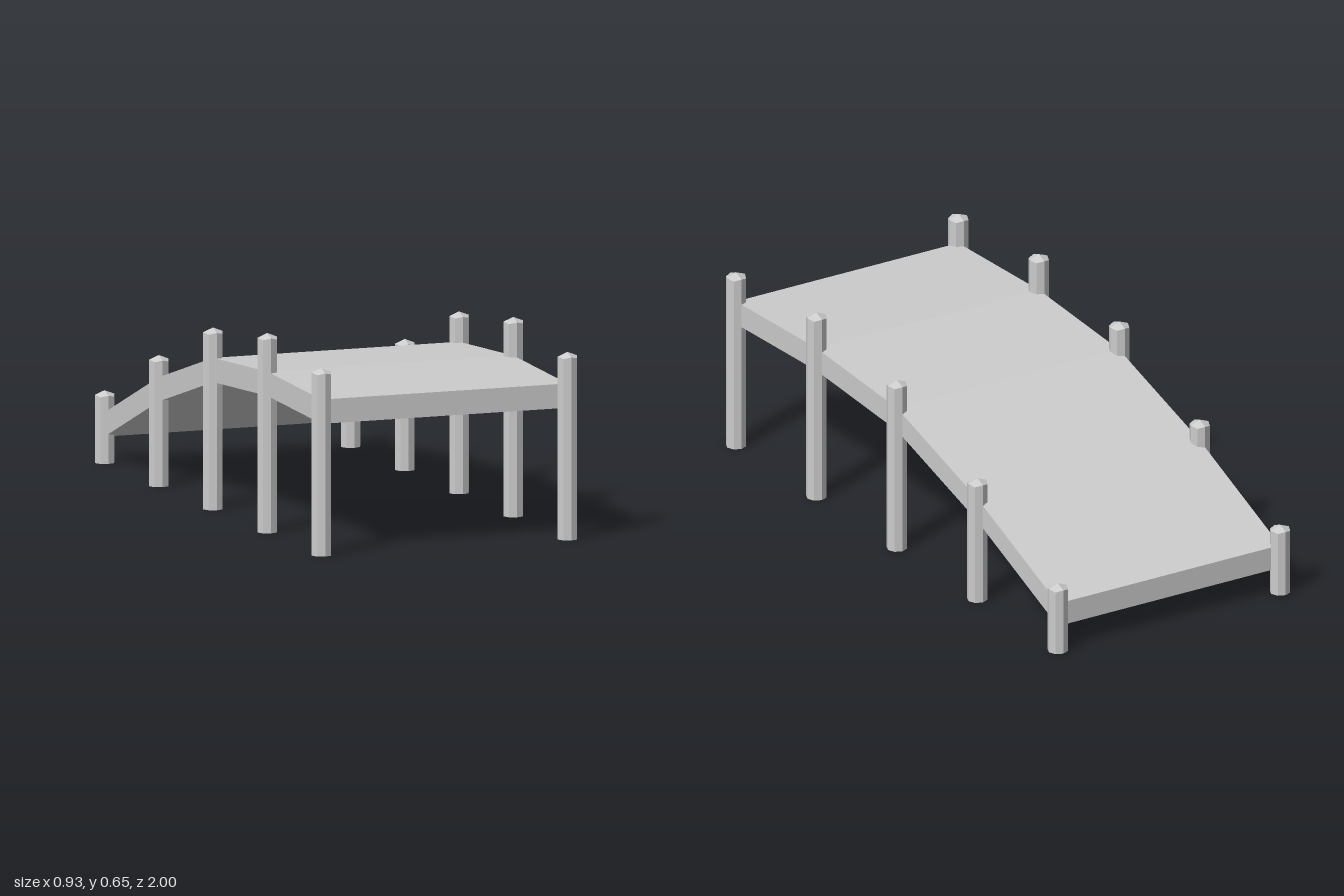
import * as THREE from 'three';

// z position, deck surface height, post peak height (front to back)
const STATIONS = [
  [0.966, 0.512, 0.616],
  [0.483, 0.528, 0.655],
  [0, 0.497, 0.597],
  [-0.483, 0.357, 0.43],
  [-0.966, 0.165, 0.238],
];
const HALF_WIDTH = 0.429;
const THICKNESS = 0.08;
const POST_RADIUS = 0.034;
const CAP_SLOPE = 0.39;

// Octagonal post whose top is cut to a shallow four-sided point
function postGeometry(height) {
  const geo = new THREE.CylinderGeometry(POST_RADIUS, POST_RADIUS, height, 8).toNonIndexed();
  geo.translate(0, height / 2, 0);
  const p = geo.attributes.position;
  for (let i = 0; i < p.count; i++) {
    if (p.getY(i) > height / 2) {
      p.setY(i, height - CAP_SLOPE * (Math.abs(p.getX(i)) + Math.abs(p.getZ(i))));
    }
  }
  geo.computeVertexNormals();
  return geo;
}

// Bent slab: side profile extruded across the width
function deckGeometry() {
  const top = STATIONS.map(([z, y]) => new THREE.Vector2(-z, y));
  const bottom = STATIONS.map(([z, y]) => new THREE.Vector2(-z, y - THICKNESS)).reverse();
  const geo = new THREE.ExtrudeGeometry(new THREE.Shape([...top, ...bottom]), {
    depth: HALF_WIDTH * 2,
    bevelEnabled: false,
  });
  geo.translate(0, 0, -HALF_WIDTH);
  geo.rotateY(Math.PI / 2);
  return geo;
}

export function createModel() {
  const model = new THREE.Group();
  model.name = 'footbridge';
  const material = new THREE.MeshStandardMaterial({ color: 0xcccccc, flatShading: true });

  const deck = new THREE.Mesh(deckGeometry(), material);
  deck.name = 'deck';
  model.add(deck);

  // Pairs of posts along both edges
  const posts = new THREE.Group();
  posts.name = 'posts';
  STATIONS.forEach(([z, , height], i) => {
    const geo = postGeometry(height);
    for (const side of [1, -1]) {
      const post = new THREE.Mesh(geo, material);
      post.name = `${side > 0 ? 'left' : 'right'}Post${i + 1}`;
      post.position.set(side * HALF_WIDTH, 0, z);
      posts.add(post);
    }
  });
  model.add(posts);
  return model;
}
